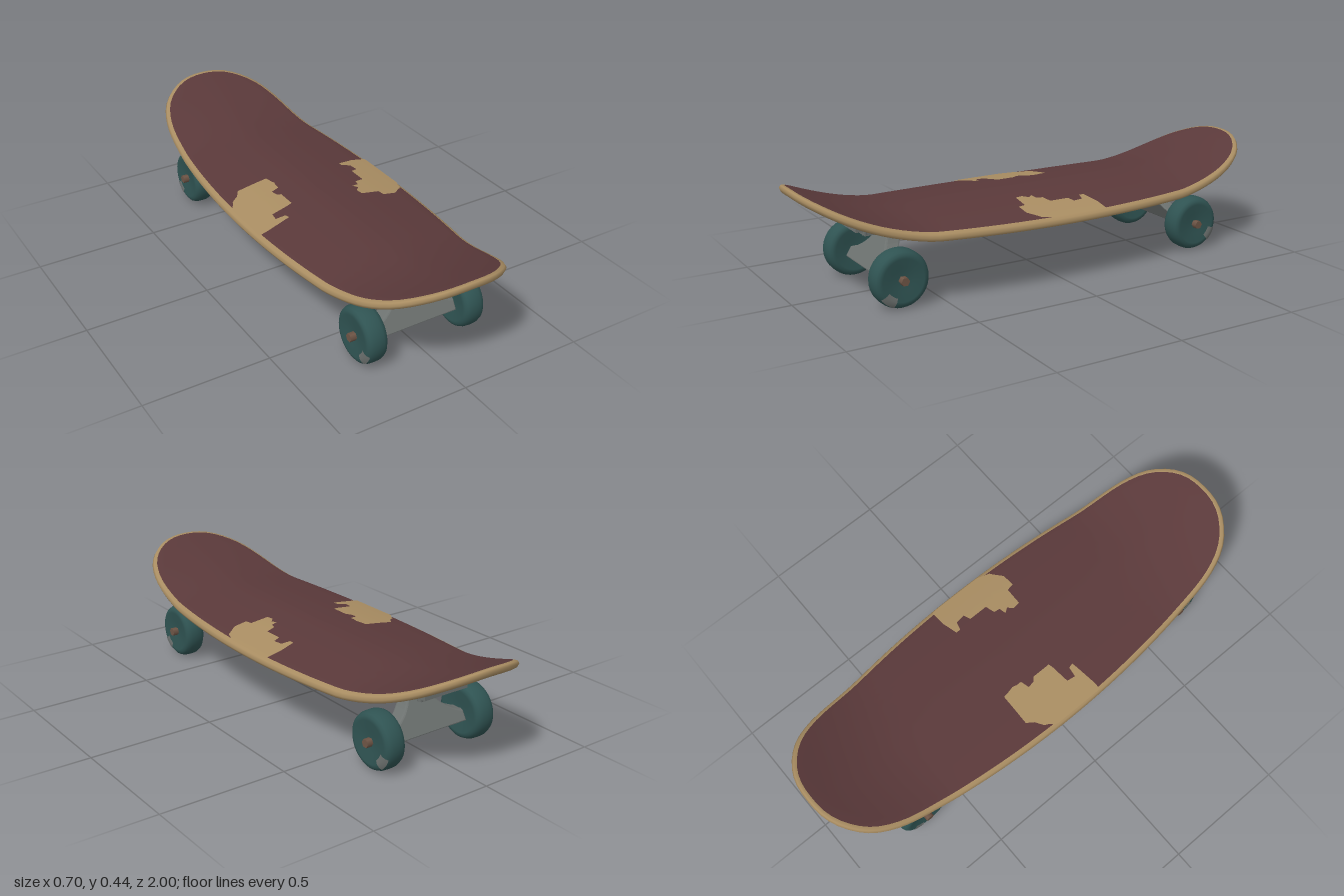
import * as THREE from 'three';

const mat = (name, color, side = THREE.FrontSide) => {
  const m = new THREE.MeshStandardMaterial({ color, side });
  m.name = name;
  return m;
};

// Height of the deck's upper face: crowned across, kicked up at both ends
function deckHeight(x, z) {
  const t = Math.max(0, Math.abs(z) - 0.55) / 0.45;
  const crown = 0.048 * Math.pow(Math.abs(x) / 0.35, 1.6) * (1 - 0.5 * Math.min(t, 1));
  return 0.32 + 0.125 * Math.pow(t, 1.7) - crown;
}

// Deck outline from a quarter profile, mirrored to all sides
function deckOutline(count) {
  const q = [[0, 1], [0.08, 0.993], [0.15, 0.965], [0.225, 0.9], [0.272, 0.8], [0.305, 0.6],
    [0.33, 0.4], [0.345, 0.2], [0.35, 0]];
  const half = [...q, ...q.slice(0, -1).reverse().map(([x, z]) => [x, -z])];
  const all = [...half, ...half.slice(1, -1).reverse().map(([x, z]) => [-x, z])];
  const curve = new THREE.CatmullRomCurve3(all.map(([x, z]) => new THREE.Vector3(x, 0, z)), true);
  return curve.getSpacedPoints(count).slice(0, count);
}

// Closed shell of rings: upper face, rounded rim, underside
function deckGeometry() {
  const n = 128, outline = deckOutline(n), thick = 0.035;
  const scales = [0, 0.12, 0.25, 0.4, 0.52, 0.62, 0.7, 0.77, 0.83, 0.89, 0.95];
  const rings = [
    ...scales.map(s => [s, 0.02, 0]),
    [1, 0.02, 0], [1, 0.006, -0.005], [1, 0, -0.017], [1, 0.006, -0.03], [1, 0.02, -thick],
    ...scales.slice().reverse().map(s => [s, 0.02, -thick]),
  ];
  const pos = [], index = [];
  for (const [s, inset, dy] of rings) {
    for (const p of outline) {
      const x = p.x * s * (1 - inset / 0.35), z = p.z * s * (1 - inset);
      pos.push(x, deckHeight(x, z) + dy, z);
    }
  }
  for (let r = 0; r < rings.length - 1; r++) {
    for (let i = 0; i < n; i++) {
      const j = (i + 1) % n, a = r * n, b = a + n;
      index.push(a + i, b + i, b + j, a + i, b + j, a + j);
    }
  }
  const g = new THREE.BufferGeometry();
  g.setAttribute('position', new THREE.Float32BufferAttribute(pos, 3));
  g.setIndex(index);
  g.computeVertexNormals();
  const band = n * 6, k = scales.length;
  g.addGroup(0, k * band, 0);
  g.addGroup(k * band, 4 * band, 1);
  g.addGroup((k + 4) * band, k * band, 0);
  return g;
}

// Worn patch laid over the deck; rows are [z, inner x, outer x]
function patchGeometry(rows, side) {
  const cols = 8, pos = [], index = [];
  rows.forEach(([z, inner, outer], r) => {
    for (let c = 0; c <= cols; c++) {
      const x = side * THREE.MathUtils.lerp(inner, outer, c / cols);
      pos.push(x, deckHeight(x, z) + 0.003, z);
      if (r && c) {
        const d = r * (cols + 1) + c, b = d - cols - 1;
        index.push(b - 1, d - 1, d, b - 1, d, b);
      }
    }
  });
  const g = new THREE.BufferGeometry();
  g.setAttribute('position', new THREE.Float32BufferAttribute(pos, 3));
  g.setIndex(index);
  g.computeVertexNormals();
  return g;
}

// Flared hanger, leaning towards the middle of the board as it rises
function hangerGeometry() {
  const s = new THREE.Shape();
  s.moveTo(-0.17, 0.094);
  s.lineTo(0.17, 0.094);
  s.lineTo(0.17, 0.122);
  s.bezierCurveTo(0.11, 0.138, 0.055, 0.18, 0.038, 0.232);
  s.lineTo(-0.038, 0.232);
  s.bezierCurveTo(-0.055, 0.18, -0.11, 0.138, -0.17, 0.122);
  const g = new THREE.ExtrudeGeometry(s, {
    depth: 0.044, bevelThickness: 0.008, bevelSize: 0.005, bevelSegments: 2, curveSegments: 10,
  });
  const p = g.attributes.position;
  for (let i = 0; i < p.count; i++) p.setZ(i, p.getZ(i) - 0.022 - (p.getY(i) - 0.11) * 0.6);
  g.computeVertexNormals();
  return g;
}

export function createModel() {
  const maroon = mat('maroon paint', 0x5a393a);
  const wood = mat('bare wood', 0xa98d62, THREE.DoubleSide);
  const teal = mat('teal wheel', 0x2f5352);
  const metal = mat('grey metal', 0x6c716f);
  const rust = mat('rusty steel', 0x6e5546);

  const model = new THREE.Group();
  model.name = 'skateboard';
  const add = (parent, name, geo, material, x = 0, y = 0, z = 0) => {
    const m = new THREE.Mesh(geo, material);
    m.name = name;
    m.position.set(x, y, z);
    parent.add(m);
    return m;
  };

  // Deck and worn paint
  add(model, 'deck', deckGeometry(), [maroon, wood]);
  const wornRight = [[-0.17, 0.13, 0.26], [-0.14, 0.125, 0.28], [-0.12, 0.12, 0.31], [-0.1, 0.125, 0.32],
    [-0.08, 0.125, 0.335], [-0.07, 0.16, 0.338], [-0.04, 0.155, 0.338], [-0.03, 0.14, 0.338],
    [0.05, 0.14, 0.338], [0.055, 0.16, 0.338], [0.065, 0.235, 0.338], [0.1, 0.24, 0.338],
    [0.105, 0.2, 0.338], [0.125, 0.195, 0.338], [0.13, 0.22, 0.338], [0.145, 0.31, 0.338]];
  const wornLeft = [[-0.155, 0.27, 0.335], [-0.14, 0.2, 0.338], [-0.12, 0.2, 0.338], [-0.11, 0.235, 0.338],
    [-0.07, 0.24, 0.338], [-0.06, 0.21, 0.338], [0.02, 0.21, 0.338], [0.03, 0.17, 0.338],
    [0.055, 0.165, 0.338], [0.06, 0.135, 0.338], [0.08, 0.15, 0.338], [0.1, 0.13, 0.33],
    [0.13, 0.135, 0.32], [0.135, 0.21, 0.31], [0.165, 0.215, 0.27]];
  add(model, 'wornPatchRight', patchGeometry(wornRight, -1), wood);
  add(model, 'wornPatchLeft', patchGeometry(wornLeft, 1), wood);

  // Shared truck and wheel geometry
  const v = pts => pts.map(([x, y]) => new THREE.Vector2(x, y));
  const face = [[0.111, 0], [0.11, 0.02], [0.104, 0.034], [0.095, 0.041], [0.082, 0.044], [0.045, 0.036], [0, 0.034]];
  const wheelGeo = new THREE.LatheGeometry(
    v([...face.slice(1).reverse().map(([r, y]) => [r, -y]), ...face]), 40);
  const wearGeo = new THREE.LatheGeometry(
    v([[0.106, 0.036], [0.096, 0.043], [0.082, 0.046], [0.068, 0.043]]), 8, 0, 0.6);
  const nutGeo = new THREE.CylinderGeometry(0.017, 0.017, 0.025, 6);
  const hangerGeo = hangerGeometry();

  for (const end of [1, -1]) {
    const truck = new THREE.Group();
    truck.name = end > 0 ? 'frontTruck' : 'rearTruck';
    truck.position.z = 0.67 * end;
    truck.rotation.y = end > 0 ? 0 : Math.PI;
    model.add(truck);

    // Mounting plate, riser block and bolts
    const plate = add(truck, 'basePlate', new THREE.BoxGeometry(0.2, 0.042, 0.25), metal, 0, 0.28, -0.015);
    plate.rotation.x = -0.06;
    add(truck, 'baseBlock', new THREE.BoxGeometry(0.15, 0.025, 0.17), metal, 0, 0.252, -0.02);
    for (const x of [-0.085, 0.085]) {
      for (const z of [-0.1, 0.07]) {
        add(truck, 'bolt', new THREE.CylinderGeometry(0.01, 0.01, 0.016, 8), metal, x, 0.257, z);
      }
    }

    // Bushing, kingpin and hanger
    add(truck, 'bushing', new THREE.CylinderGeometry(0.05, 0.046, 0.03, 20), rust, 0, 0.236, -0.06);
    add(truck, 'kingpin', new THREE.BoxGeometry(0.05, 0.035, 0.05), metal, 0, 0.24, 0);
    add(truck, 'hanger', hangerGeo, metal);
    const axle = add(truck, 'axle', new THREE.CylinderGeometry(0.014, 0.014, 0.52, 16), metal, 0, 0.111, 0);
    axle.rotation.z = Math.PI / 2;

    // Wheels with nuts and a scuff on the outer face
    for (const side of [1, -1]) {
      const wheel = new THREE.Group();
      wheel.name = side > 0 ? 'leftWheel' : 'rightWheel';
      wheel.position.set(0.213 * side, 0.111, 0);
      wheel.rotation.z = -side * Math.PI / 2;
      truck.add(wheel);
      add(wheel, 'tyre', wheelGeo, teal);
      add(wheel, 'axleNut', nutGeo, rust, 0, 0.048, 0);
      const scuff = add(wheel, 'scuff', wearGeo, metal);
      scuff.rotation.y = side > 0 ? 0.6 : -0.9;
    }
  }
  return model;
}
